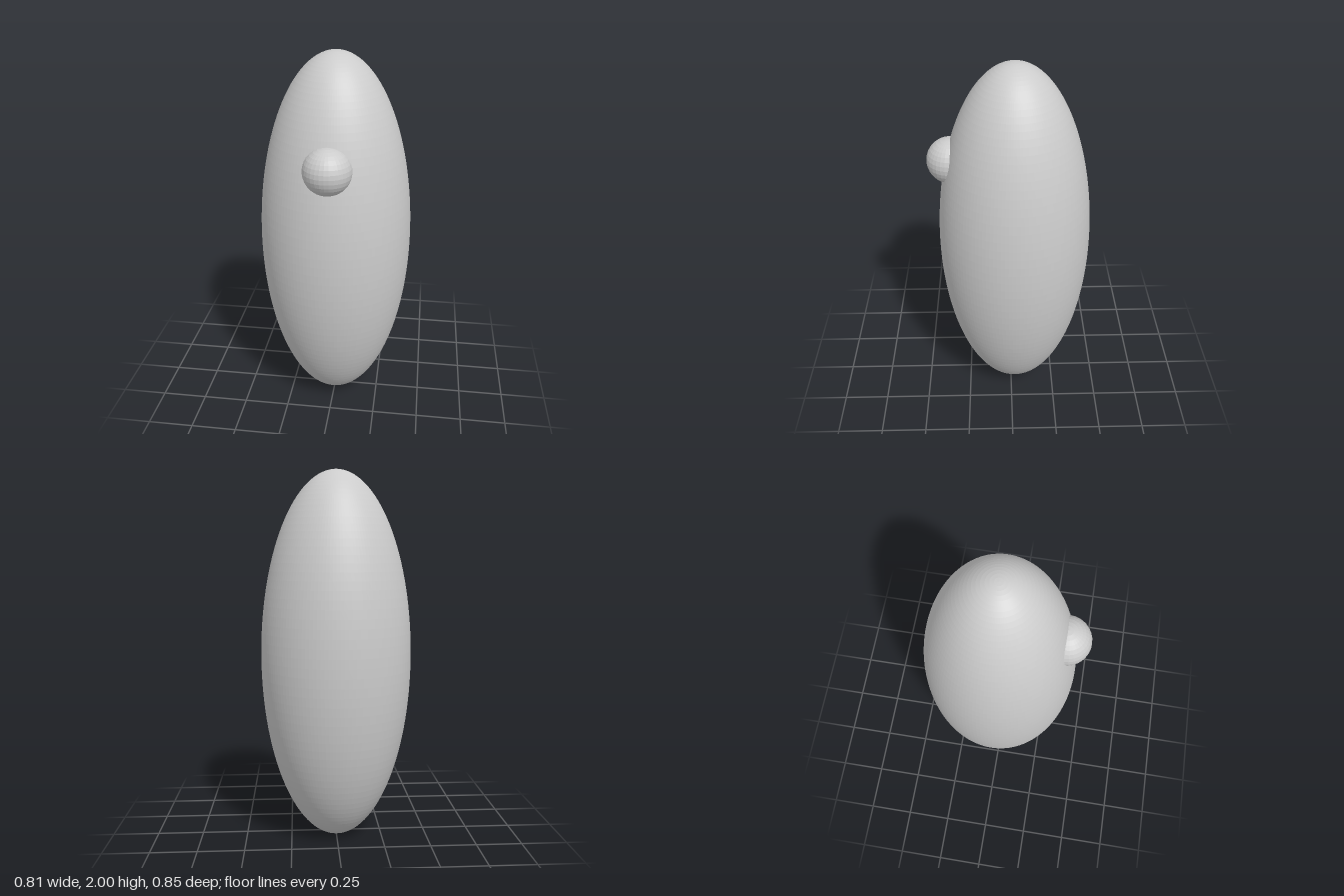
import * as THREE from 'three';

export function createModel() {
  const group = new THREE.Group();
  const material = new THREE.MeshStandardMaterial({ color: 0xcccccc, flatShading: true });

  function addEllipsoid(name, [rx, ry, rz], [x, y, z], segments) {
    const geometry = new THREE.SphereGeometry(1, segments, segments / 2);
    geometry.scale(rx, ry, rz);
    const mesh = new THREE.Mesh(geometry, material);
    mesh.name = name;
    mesh.position.set(x, y, z);
    group.add(mesh);
  }

  // Tall egg-like body
  addEllipsoid('body', [0.406, 1, 0.406], [0, 1, -0.021], 128);
  // Round nose half sunk into the upper front
  addEllipsoid('nose', [0.123, 0.119, 0.123], [0, 1.49, 0.304], 32);

  return group;
}
